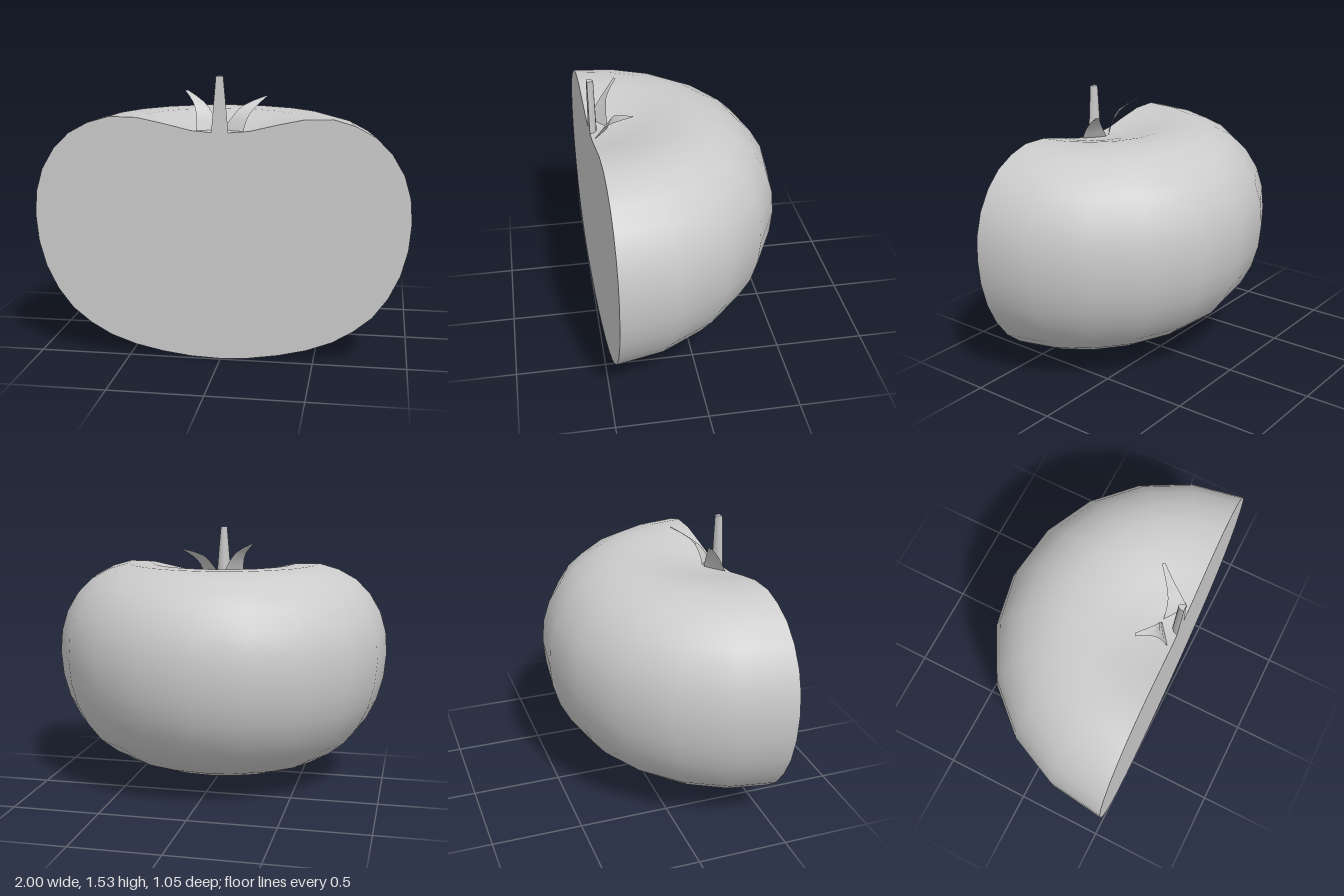
import * as THREE from 'three';

const grey = new THREE.MeshStandardMaterial({ color: 0xcccccc });
const thin = new THREE.MeshStandardMaterial({ color: 0xcccccc, side: THREE.DoubleSide });

// Half outline of the fruit, from the bottom centre to the dimple on top
const profile = [
  [0, 0], [0.155, 0.008], [0.31, 0.03], [0.46, 0.064], [0.6, 0.115], [0.71, 0.18], [0.81, 0.262],
  [0.89, 0.37], [0.95, 0.495], [0.987, 0.635], [1, 0.78], [0.99, 0.91], [0.955, 1.03], [0.89, 1.14],
  [0.805, 1.225], [0.7, 1.282], [0.585, 1.315], [0.44, 1.312], [0.3, 1.283], [0.15, 1.247], [0, 1.235],
].map(([x, y]) => new THREE.Vector2(x, y));

function named(name, geometry, material = grey) {
  const mesh = new THREE.Mesh(geometry, material);
  mesh.name = name;
  return mesh;
}

// Move every vertex of a geometry by a rule
function warp(geometry, rule) {
  const p = geometry.attributes.position;
  const v = new THREE.Vector3();
  for (let i = 0; i < p.count; i++) {
    v.fromBufferAttribute(p, i);
    rule(v, i);
    p.setXYZ(i, v.x, v.y, v.z);
  }
  return geometry;
}

// Rounded skin: half a lathe, its underside lifted slightly toward the back
function skinGeometry() {
  const n = profile.length;
  const lathe = new THREE.LatheGeometry(profile, 10, Math.PI / 2, Math.PI);
  return warp(lathe, (v, i) => {
    const row = i % n;
    const back = Math.sin((Math.floor(i / n) / 10) * Math.PI);
    if (row < 10) v.y += 0.04 * back * Math.sin((row / 10) * Math.PI);
    v.z *= 1.02;
  });
}

// Flat cut face: the outline mirrored across the middle
function cutGeometry() {
  const left = profile.slice(1, -1).reverse().map((p) => new THREE.Vector2(-p.x, p.y));
  return new THREE.ShapeGeometry(new THREE.Shape([...profile, ...left]));
}

// Stem: half a cylinder narrowing upward, closed by a flat front
function makeStem() {
  const h = 0.295;
  const taper = (v) => {
    const t = v.y / h + 0.5;
    v.x *= THREE.MathUtils.lerp(0.045, 0.019, t);
    v.z *= THREE.MathUtils.lerp(0.042, 0.036, t);
  };
  const stem = new THREE.Group();
  stem.name = 'stem';
  stem.add(
    named('stemBack', warp(new THREE.CylinderGeometry(1, 1, h, 6, 1, false, Math.PI / 2, Math.PI), taper)),
    named('stemCut', warp(new THREE.PlaneGeometry(2, h), taper)),
  );
  stem.position.y = 1.235 + h / 2;
  return stem;
}

// Leaf: a thin strip between two curved edges
function leafGeometry(edgeA, edgeB, rows = 6) {
  const [a, b] = [edgeA, edgeB].map(
    (e) => new THREE.CatmullRomCurve3(e.map((p) => new THREE.Vector3(...p))));
  const g = new THREE.PlaneGeometry(1, 1, 1, rows);
  warp(g, (v, i) => v.copy((i % 2 ? b : a).getPoint(Math.floor(i / 2) / rows)));
  g.computeVertexNormals();
  return g;
}

export function createModel() {
  const model = new THREE.Group();
  model.name = 'halfFruit';

  // Fruit and stem share the slightly turned cut plane
  const half = new THREE.Group();
  half.name = 'fruit';
  half.position.z = 0.49;
  half.rotation.y = 0.035;
  half.add(named('skin', skinGeometry()), named('cutFace', cutGeometry()), makeStem());
  model.add(half);

  // Two leaves curling up and away behind the stem
  model.add(
    named('rightLeaf', leafGeometry(
      [[-0.125, 1.24, 0.475], [-0.135, 1.33, 0.43], [-0.16, 1.385, 0.385], [-0.215, 1.44, 0.325]],
      [[-0.015, 1.24, 0.39], [-0.05, 1.32, 0.388], [-0.1, 1.385, 0.378], [-0.2, 1.44, 0.315]]), thin),
    named('leftLeaf', leafGeometry(
      [[0.12, 1.24, 0.472], [0.135, 1.305, 0.43], [0.165, 1.355, 0.37], [0.225, 1.41, 0.28]],
      [[0, 1.24, 0.39], [0.05, 1.31, 0.382], [0.1, 1.365, 0.358], [0.213, 1.41, 0.268]]), thin),
  );
  return model;
}
